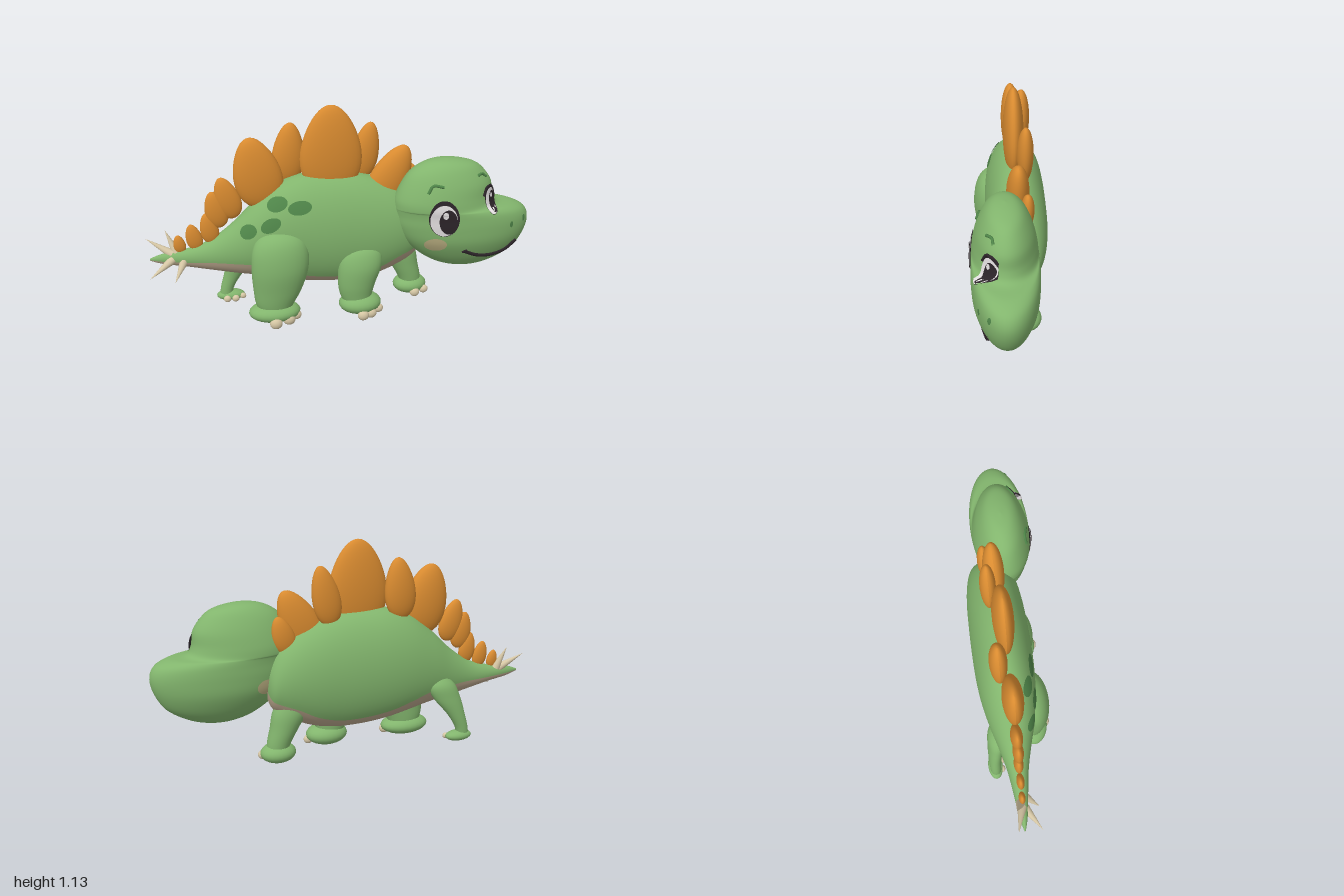
import * as THREE from 'three';
import { mergeVertices } from 'three/addons/utils/BufferGeometryUtils.js';

const mat = (name, color, side = THREE.FrontSide) => {
  const m = new THREE.MeshStandardMaterial({ color, side });
  m.name = name;
  return m;
};

// Smooth interpolation of a table of rows, t in 0..1
function sample(rows, t) {
  const f = Math.min(Math.max(t, 0), 1) * (rows.length - 1);
  const i = Math.min(Math.floor(f), rows.length - 2), k = f - i;
  const r = (n) => rows[Math.min(Math.max(n, 0), rows.length - 1)];
  return rows[0].map((_, c) => {
    const [a, b, d, e] = [r(i - 1)[c], r(i)[c], r(i + 1)[c], r(i + 2)[c]];
    return b + 0.5 * k * (d - a + k * (2 * a - 5 * b + 4 * d - e + k * (3 * (b - d) + e - a)));
  });
}

// Row whose first column equals value (first column rises)
function rowAt(rows, value) {
  let lo = 0, hi = 1;
  for (let n = 0; n < 30; n++) {
    const mid = (lo + hi) / 2;
    if (sample(rows, mid)[0] < value) lo = mid; else hi = mid;
  }
  return sample(rows, lo);
}

// Grid surface from point(u, v); faces du x dv
function loft(point, nu, nv) {
  const pos = [], idx = [];
  for (let j = 0; j <= nv; j++) for (let i = 0; i <= nu; i++) pos.push(...point(i / nu, j / nv));
  for (let j = 0; j < nv; j++) for (let i = 0; i < nu; i++) {
    const a = j * (nu + 1) + i, c = a + nu + 1;
    idx.push(a, a + 1, c, a + 1, c + 1, c);
  }
  let g = new THREE.BufferGeometry();
  g.setAttribute('position', new THREE.Float32BufferAttribute(pos, 3));
  g.setIndex(idx);
  g = mergeVertices(g, 1e-5);
  g.computeVertexNormals();
  return g;
}

// Body sections: x, top, bottom, centre z, half width, belly angle
const BODY = [
  [-0.985, 0.362, 0.352, -0.05, 0.003, 1.3], [-0.92, 0.385, 0.33, -0.048, 0.02, 1.3],
  [-0.8, 0.405, 0.308, -0.045, 0.037, 1.3], [-0.68, 0.445, 0.282, -0.043, 0.055, 1.3],
  [-0.56, 0.53, 0.257, -0.042, 0.085, 1.15], [-0.44, 0.645, 0.235, -0.042, 0.12, 1.0],
  [-0.32, 0.735, 0.208, -0.045, 0.142, 0.8], [-0.2, 0.778, 0.182, -0.046, 0.153, 0.68],
  [-0.06, 0.782, 0.167, -0.046, 0.157, 0.64], [0.08, 0.768, 0.168, -0.048, 0.154, 0.65],
  [0.2, 0.735, 0.19, -0.05, 0.148, 0.75], [0.3, 0.69, 0.23, -0.052, 0.135, 0.9],
  [0.38, 0.625, 0.275, -0.055, 0.112, 0.95], [0.43, 0.53, 0.33, -0.06, 0.075, 0.95],
  [0.45, 0.43, 0.43, -0.06, 0, 0.95],
];

// Head sections: y, min x, max x, half depth
const HEAD = [
  [0.242, 0.66, 0.66, 0], [0.25, 0.58, 0.75, 0.04], [0.28, 0.49, 0.84, 0.075],
  [0.34, 0.4, 0.93, 0.115], [0.42, 0.325, 0.98, 0.148], [0.5, 0.285, 0.998, 0.157],
  [0.56, 0.275, 0.975, 0.157], [0.592, 0.27, 0.91, 0.155], [0.605, 0.27, 0.82, 0.153],
  [0.65, 0.275, 0.79, 0.147], [0.72, 0.305, 0.78, 0.13], [0.78, 0.345, 0.74, 0.105],
  [0.82, 0.4, 0.69, 0.078], [0.842, 0.46, 0.61, 0.045], [0.85, 0.535, 0.535, 0],
];
const HEAD_Z = 0.03;

const arc = (r) => Math.sqrt(1 - Math.min(Math.abs(r), 0.97) ** 2);
function headZ(x, y, off, side = 1) {
  const [, x0, x1, h] = rowAt(HEAD, y);
  return HEAD_Z + side * (h + off) * arc((x - (x0 + x1) / 2) / ((x1 - x0) / 2 + off));
}
function bodyZ(x, y, off) {
  const [, top, bot, zc, h] = rowAt(BODY, x);
  return zc + (h + off) * arc((y - (top + bot) / 2) / ((top - bot) / 2 + off));
}

export function createModel() {
  const model = new THREE.Group();
  model.name = 'dinosaur';
  const green = mat('skin green', 0x82b56d);
  const tan = mat('belly tan', 0xb7a48a, THREE.DoubleSide);
  const orange = mat('plate orange', 0xd98b30);
  const bone = mat('claw cream', 0xd6c7a5);
  const spotGreen = mat('spot green', 0x4f8549, THREE.DoubleSide);
  const cheekTan = mat('cheek tan', 0xb9ae80, THREE.DoubleSide);
  const dark = mat('eye dark', 0x2c2429, THREE.DoubleSide);
  const white = mat('eye white', 0xe3dfe0, THREE.DoubleSide);

  const add = (name, geo, m, parent = model) => {
    const mesh = new THREE.Mesh(geo, m);
    mesh.name = name;
    parent.add(mesh);
    return mesh;
  };
  const ball = (name, m, [x, y, z], [rx, ry, rz], tilt = 0) => {
    const mesh = add(name, new THREE.SphereGeometry(1, 24, 16), m);
    mesh.position.set(x, y, z);
    mesh.scale.set(rx, ry, rz);
    mesh.rotation.z = tilt;
  };
  // Thin oval laid on a surface
  const decal = (name, m, surf, x, y, rx, ry, tilt, off, side = 1) =>
    add(name, loft((u, v) => {
      const a = u * Math.PI * 2, p = rx * v * Math.cos(a), q = ry * v * Math.sin(a);
      const px = x + p * Math.cos(tilt) - q * Math.sin(tilt);
      const py = y + p * Math.sin(tilt) + q * Math.cos(tilt);
      return [px, py, surf(px, py, off, side)];
    }, 28, 5), m);
  // Line drawn on the head
  const line = (name, m, pts, r) => {
    const flat = new THREE.CatmullRomCurve3(pts.map(([x, y]) => new THREE.Vector3(x, y, 0)));
    const on = flat.getPoints(20).map((p) => p.setZ(headZ(p.x, p.y, 0.002)));
    add(name, new THREE.TubeGeometry(new THREE.CatmullRomCurve3(on), 32, r, 8), m);
  };

  // Body and belly share the same sections
  const bodyPoint = (angle, row) => {
    const [x, top, bot, zc, h] = row;
    return [x, (top + bot) / 2 + (top - bot) / 2 * Math.cos(angle), zc + h * Math.sin(angle)];
  };
  add('body', loft((u, v) => {
    const row = sample(BODY, v);
    return bodyPoint((u * 2 - 1) * (Math.PI - row[5]), row);
  }, 40, 70), green);
  add('belly', loft((u, v) => {
    const row = sample(BODY, v);
    return bodyPoint(Math.PI + (u * 2 - 1) * row[5], row);
  }, 16, 70), tan);

  // Head with muzzle
  add('head', loft((u, v) => {
    const [y, x0, x1, h] = sample(HEAD, v), a = u * Math.PI * 2;
    return [(x0 + x1) / 2 + (x1 - x0) / 2 * Math.cos(a), y, HEAD_Z - h * Math.sin(a)];
  }, 56, 70), green);

  // Legs, bottom to top: x, y, z, radius x, radius z
  const legs = {
    nearHindLeg: [[-0.36, 0.05, 0.075, 0.07, 0.05], [-0.36, 0.12, 0.08, 0.1, 0.062], [-0.345, 0.2, 0.085, 0.125, 0.07],
      [-0.33, 0.32, 0.09, 0.146, 0.08], [-0.325, 0.43, 0.08, 0.142, 0.078], [-0.32, 0.5, 0.06, 0.1, 0.06], [-0.32, 0.54, 0.04, 0, 0]],
    nearFrontLeg: [[0.08, 0.05, 0.07, 0.06, 0.05], [0.07, 0.13, 0.072, 0.085, 0.06], [0.072, 0.2, 0.075, 0.1, 0.066],
      [0.088, 0.29, 0.075, 0.115, 0.068], [0.095, 0.36, 0.065, 0.108, 0.06], [0.1, 0.4, 0.055, 0.07, 0.04], [0.1, 0.415, 0.05, 0, 0]],
    farFrontLeg: [[0.41, 0.05, -0.085, 0.05, 0.045], [0.395, 0.13, -0.085, 0.062, 0.055], [0.365, 0.21, -0.085, 0.075, 0.063],
      [0.33, 0.3, -0.085, 0.092, 0.067], [0.31, 0.38, -0.085, 0.06, 0.045], [0.3, 0.41, -0.085, 0, 0]],
    farHindLeg: [[-0.61, 0.045, -0.15, 0.035, 0.028], [-0.6, 0.11, -0.152, 0.036, 0.03], [-0.565, 0.19, -0.15, 0.05, 0.034],
      [-0.515, 0.28, -0.14, 0.075, 0.042], [-0.48, 0.36, -0.125, 0.075, 0.045], [-0.47, 0.42, -0.11, 0, 0]],
  };
  for (const [name, rows] of Object.entries(legs)) {
    add(name, loft((u, v) => {
      const [x, y, z, rx, rz] = sample(rows, v), a = u * Math.PI * 2;
      return [x + rx * Math.cos(a), y, z - rz * Math.sin(a)];
    }, 28, 28), green);
  }
  // Feet and their toes
  [[[-0.365, 0.07, 0.08], [0.135, 0.053, 0.085]], [[0.09, 0.078, 0.075], [0.113, 0.058, 0.085]],
    [[0.4, 0.08, -0.085], [0.092, 0.052, 0.075]], [[-0.585, 0.06, -0.152], [0.075, 0.029, 0.04]],
  ].forEach(([p, r]) => ball('foot', green, p, r));
  [[-0.365, 0.037, 0.155, 0.033], [-0.295, 0.042, 0.13, 0.033], [-0.255, 0.048, 0.1, 0.028],
    [0.095, 0.037, 0.15, 0.03], [0.14, 0.037, 0.13, 0.03], [0.185, 0.045, 0.1, 0.026],
    [0.415, 0.053, -0.02, 0.027], [0.47, 0.058, -0.04, 0.025],
    [-0.605, 0.052, -0.115, 0.02], [-0.56, 0.052, -0.115, 0.02], [-0.52, 0.057, -0.13, 0.017],
  ].forEach(([x, y, z, r]) => ball('toe', bone, [x, y, z], [r, r * 0.95, r * 0.75]));

  // Back plates: x, y, z, half width, half height, half thickness, tilt
  const egg = new THREE.SphereGeometry(1, 28, 20);
  const ep = egg.attributes.position;
  for (let i = 0; i < ep.count; i++) ep.setX(i, ep.getX(i) * (1.02 - 0.22 * ep.getY(i)));
  egg.computeVertexNormals();
  [[-0.045, 0.9, -0.035, 0.152, 0.235, 0.052, 0], [-0.42, 0.8, -0.038, 0.118, 0.19, 0.052, 0.2],
    [-0.255, 0.88, -0.085, 0.08, 0.16, 0.044, -0.08], [0.14, 0.87, -0.085, 0.07, 0.155, 0.04, -0.2],
    [0.265, 0.735, -0.043, 0.098, 0.185, 0.055, -0.45], [0.36, 0.69, -0.085, 0.055, 0.1, 0.032, -0.3],
    [-0.575, 0.675, -0.04, 0.062, 0.115, 0.03, 0.28], [-0.635, 0.615, -0.04, 0.055, 0.1, 0.027, 0.2],
    [-0.675, 0.515, -0.042, 0.045, 0.085, 0.024, 0.15], [-0.755, 0.47, -0.043, 0.04, 0.072, 0.02, 0.2],
    [-0.83, 0.435, -0.045, 0.03, 0.05, 0.017, 0.15],
  ].forEach(([x, y, z, w, h, d, tilt]) => {
    const p = add('backPlate', egg, orange);
    p.position.set(x, y, z);
    p.scale.set(w, h, d);
    p.rotation.z = tilt;
  });

  // Tail spikes from base to tip
  [[[-0.87, 0.38, -0.05], [-1.0, 0.46, -0.085]], [[-0.85, 0.385, -0.055], [-0.9, 0.505, -0.08]],
    [[-0.87, 0.355, -0.035], [-0.985, 0.292, 0.045]], [[-0.81, 0.35, -0.03], [-0.862, 0.26, 0.045]],
  ].forEach(([b, t]) => {
    const base = new THREE.Vector3(...b), dir = new THREE.Vector3(...t).sub(base);
    const s = add('tailSpike', new THREE.ConeGeometry(0.024, dir.length(), 16), bone);
    s.position.copy(base).addScaledVector(dir, 0.5);
    s.quaternion.setFromUnitVectors(new THREE.Vector3(0, 1, 0), dir.normalize());
  });

  // Spots on the flank
  [[-0.33, 0.662, 0.053, 0.033, 0.35], [-0.22, 0.646, 0.06, 0.034, 0.15],
    [-0.368, 0.56, 0.055, 0.033, 0.5], [-0.48, 0.522, 0.045, 0.033, 0.6],
  ].forEach(([x, y, rx, ry, t]) => decal('spot', spotGreen, bodyZ, x, y, rx, ry, t, 0.005));

  // Eyes in layers: x, y, width scale, height scale
  [[0.5, 0.57, 1, 1], [0.76, 0.645, 0.47, 0.7]].forEach(([x, y, sx, sy]) => {
    const layer = (n, m, dx, dy, rx, ry, off) =>
      decal(n, m, headZ, x + dx * sx, y + dy * sy, rx * sx, ry * sy, 0.12, off);
    layer('eyeRim', dark, 0, 0.003, 0.077, 0.099, 0.003);
    layer('eyeWhite', white, -0.002, -0.006, 0.069, 0.086, 0.006);
    layer('pupil', dark, 0.02, -0.012, 0.046, 0.068, 0.009);
    layer('eyeGlint', white, 0.003, 0.026, 0.015, 0.02, 0.012);
  });
  line('eyelash', dark, [[0.715, 0.665], [0.735, 0.705], [0.765, 0.705]], 0.007);

  // Cheeks, nostrils, brows and smile
  decal('cheek', cheekTan, headZ, 0.467, 0.42, 0.056, 0.04, 0, 0.004);
  decal('farCheek', cheekTan, headZ, 0.45, 0.44, 0.05, 0.04, 0, 0.004, -1);
  decal('nostril', spotGreen, headZ, 0.87, 0.507, 0.01, 0.017, 0, 0.004);
  decal('nostril', spotGreen, headZ, 0.95, 0.522, 0.009, 0.017, 0, 0.004);
  line('brow', spotGreen, [[0.418, 0.705], [0.445, 0.742], [0.497, 0.737]], 0.008);
  line('brow', spotGreen, [[0.68, 0.77], [0.71, 0.775], [0.735, 0.757]], 0.007);
  line('smile', dark, [[0.62, 0.378], [0.69, 0.345], [0.77, 0.333], [0.85, 0.348], [0.915, 0.4]], 0.01);
  line('smileCorner', dark, [[0.612, 0.37], [0.622, 0.378], [0.634, 0.383]], 0.006);

  return model;
}
